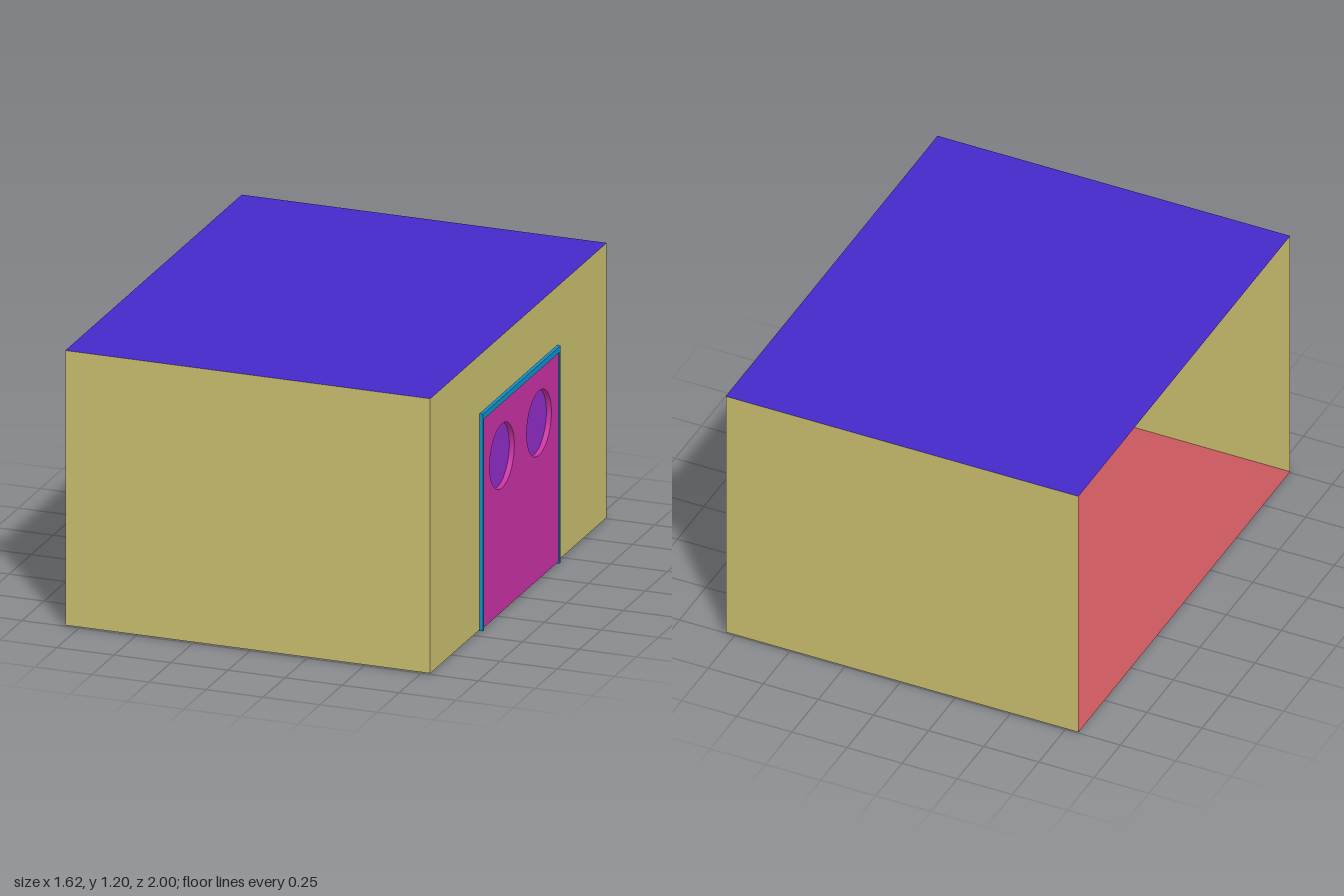
import * as THREE from 'three';

const paint = (color) => new THREE.MeshStandardMaterial({ color, side: THREE.DoubleSide });
const WALL = paint(0xc8be6e), CEILING = paint(0x4429c8), FLOOR = paint(0xc9565e);
const DOOR = paint(0xc932a3), GLASS = paint(0x8f2dc9), FRAME = paint(0x1090c8);

const X0 = -0.81, X1 = 0.79, Y0 = 0.005, Y1 = 1.2, Z = 1;
const DOOR_HALF = 0.428, DOOR_TOP = 0.92;
const FRAME_HALF = 0.44, FRAME_TOP = 0.945;

function add(parent, name, geometry, material, x = 0, y = 0, z = 0) {
  const mesh = new THREE.Mesh(geometry, material);
  mesh.name = name;
  mesh.position.set(x, y, z);
  parent.add(mesh);
  return mesh;
}

const polygon = (points) => new THREE.Shape(points.map(([x, y]) => new THREE.Vector2(x, y)));

export function createModel() {
  const group = new THREE.Group();
  group.name = 'roomWithDoor';
  const width = X1 - X0, height = Y1 - Y0;
  const midX = (X0 + X1) / 2, midY = (Y0 + Y1) / 2;

  // Front and back walls; the left side of the room stays open
  add(group, 'frontWall', new THREE.PlaneGeometry(width, height), WALL, midX, midY, Z);
  add(group, 'backWall', new THREE.PlaneGeometry(width, height), WALL, midX, midY, -Z).rotation.y = Math.PI;

  // Right wall, notched for the doorway
  const notched = polygon([
    [-Z, Y0], [-FRAME_HALF, Y0], [-FRAME_HALF, FRAME_TOP], [FRAME_HALF, FRAME_TOP],
    [FRAME_HALF, Y0], [Z, Y0], [Z, Y1], [-Z, Y1],
  ]);
  add(group, 'rightWall', new THREE.ShapeGeometry(notched), WALL, X1).rotation.y = Math.PI / 2;

  // Floor and ceiling
  add(group, 'floor', new THREE.PlaneGeometry(width, 2 * Z), FLOOR, midX, Y0).rotation.x = -Math.PI / 2;
  add(group, 'ceiling', new THREE.PlaneGeometry(width, 2 * Z), CEILING, midX, Y1).rotation.x = -Math.PI / 2;

  // Door assembly, drawn facing +z and turned to face +x
  const door = new THREE.Group();
  door.name = 'door';
  door.position.x = 0.775;
  door.rotation.y = Math.PI / 2;
  group.add(door);

  // Frame around the opening
  const surround = polygon([
    [-FRAME_HALF, 0], [-DOOR_HALF, 0], [-DOOR_HALF, DOOR_TOP], [DOOR_HALF, DOOR_TOP],
    [DOOR_HALF, 0], [FRAME_HALF, 0], [FRAME_HALF, FRAME_TOP], [-FRAME_HALF, FRAME_TOP],
  ]);
  add(door, 'doorFrame', new THREE.ExtrudeGeometry(surround, { depth: 0.03, bevelEnabled: false }), FRAME);

  // Panel with two round openings, each holding recessed glass
  const panel = polygon([
    [-DOOR_HALF, 0.008], [DOOR_HALF, 0.008], [DOOR_HALF, DOOR_TOP], [-DOOR_HALF, DOOR_TOP],
  ]);
  for (const side of [-1, 1]) {
    panel.holes.push(new THREE.Path().absarc(side * 0.21, 0.685, 0.14, 0, Math.PI * 2, true));
    const glass = new THREE.CircleGeometry(0.14, 48);
    add(door, side < 0 ? 'frontWindow' : 'backWindow', glass, GLASS, side * 0.21, 0.685, 0.002);
  }
  const panelGeometry = new THREE.ExtrudeGeometry(panel, { depth: 0.024, bevelEnabled: false, curveSegments: 48 });
  add(door, 'doorPanel', panelGeometry, DOOR);

  return group;
}
